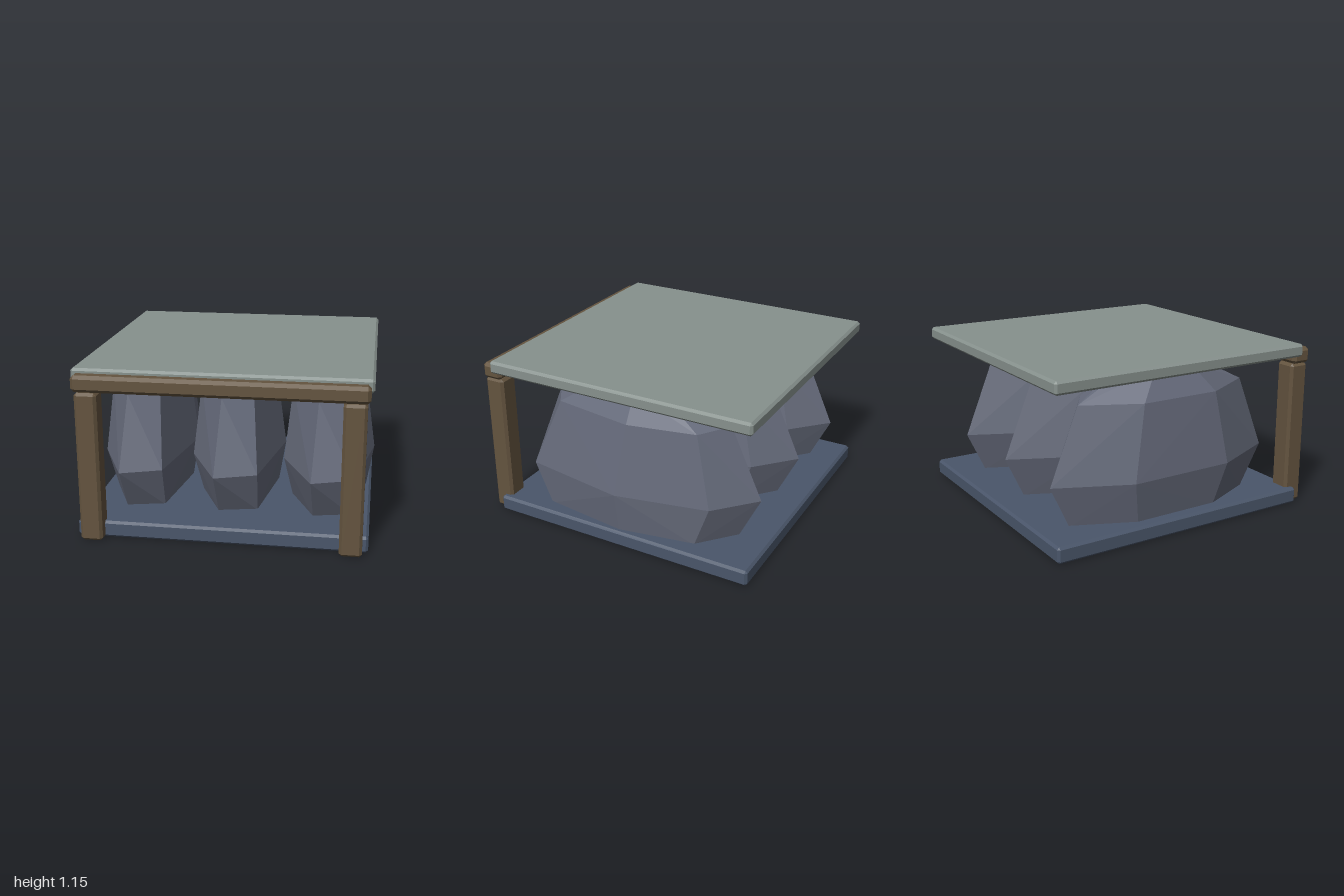
import * as THREE from 'three';
import { ConvexGeometry } from 'three/addons/geometries/ConvexGeometry.js';

const material = (color) => new THREE.MeshStandardMaterial({ color, flatShading: true });

// Box with chamfered edges, given by its minimum and maximum corners
function chamferedBox(name, min, max, c, mat) {
  const points = [];
  const half = max.map((v, i) => (v - min[i]) / 2);
  for (const sx of [-1, 1]) for (const sy of [-1, 1]) for (const sz of [-1, 1]) {
    for (let face = 0; face < 3; face++) {
      const [x, y, z] = half.map((h, i) => (i === face ? h : h - c));
      points.push(new THREE.Vector3(sx * x, sy * y, sz * z));
    }
  }
  const mesh = new THREE.Mesh(new ConvexGeometry(points), mat);
  mesh.name = name;
  mesh.position.set(...max.map((v, i) => (v + min[i]) / 2));
  return mesh;
}

// Faceted boulder: seven-sided rings, long in z, widest at y = 0.4
function boulderGeometry() {
  const rings = [
    { y: 0.1, x: [0.27, 0.19, -0.07, -0.24, -0.245, -0.06, 0.18], z: [-0.04, 0.56, 0.62, 0.25, -0.36, -0.77, -0.56] },
    { y: 0.4, x: [0.32, 0.2, -0.08, -0.3, -0.31, -0.08, 0.19], z: [-0.04, 0.68, 0.78, 0.32, -0.42, -0.915, -0.67] },
    { y: 0.9, x: [0.243, 0.15, -0.05, -0.25, -0.25, -0.06, 0.15], z: [-0.1, 0.47, 0.6, 0.24, -0.32, -0.7, -0.56] },
    { y: 1.08, x: [0.14, 0.09, -0.03, -0.14, -0.14, -0.03, 0.09], z: [-0.1, 0.2, 0.25, 0.11, -0.17, -0.34, -0.3] },
  ];
  const points = rings.flatMap(({ y, x, z }) => x.map((v, i) => new THREE.Vector3(v, y, z[i])));
  return new ConvexGeometry(points);
}

export function createModel() {
  const group = new THREE.Group();
  const wood = material(0x64543f);
  const stone = material(0x666b7b);

  // Base and roof slabs
  group.add(
    chamferedBox('baseSlab', [-0.967, 0, -1], [0.95, 0.112, 0.925], 0.016, material(0x4a566a)),
    chamferedBox('roofSlab', [-0.967, 1.064, -1], [0.95, 1.152, 0.925], 0.016, material(0x87918d)),
  );

  // Timber frame across the front
  for (const [name, x] of [['rightPost', -0.93], ['leftPost', 0.765]]) {
    group.add(chamferedBox(name, [x, 0, 0.857], [x + 0.147, 1.01, 1], 0.018, wood));
  }
  group.add(chamferedBox('lintel', [-0.95, 1.012, 0.857], [0.93, 1.122, 1], 0.022, wood));

  // Row of three boulders
  const geometry = boulderGeometry();
  [[-0.64, 0.97], [0, 1], [0.642, 1]].forEach(([x, width], i) => {
    const boulder = new THREE.Mesh(geometry, stone);
    boulder.name = `boulder${i + 1}`;
    boulder.position.x = x;
    boulder.scale.x = width;
    group.add(boulder);
  });

  return group;
}
